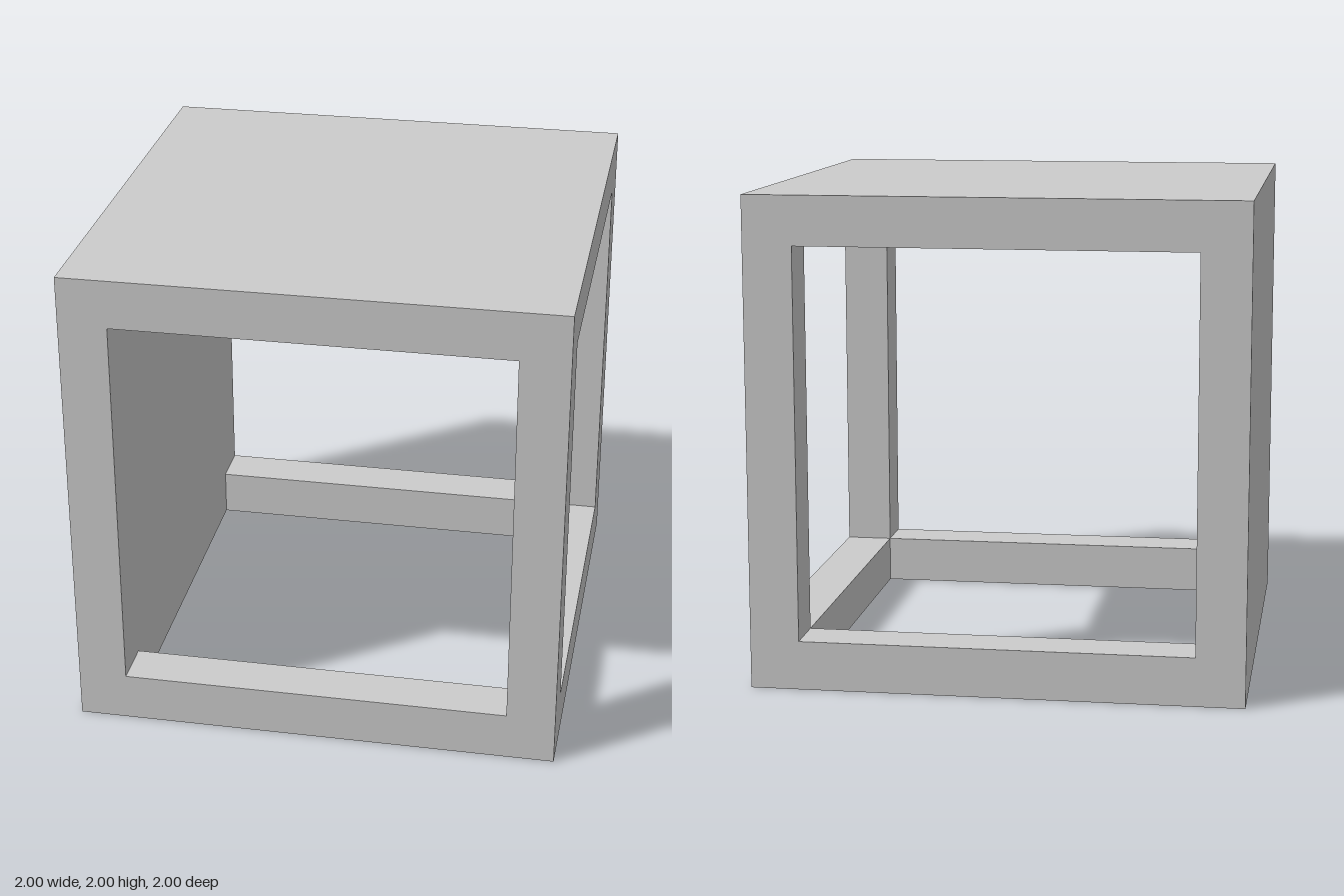
import * as THREE from 'three';
import { mergeGeometries } from 'three/addons/utils/BufferGeometryUtils.js';

const HALF = 1;      // half the cube's edge
const WALL = 0.2;    // thickness of panels and bars
const INNER = HALF - WALL;

function square(PathType, h) {
  const p = new PathType();
  p.moveTo(-h, -h);
  p.lineTo(h, -h);
  p.lineTo(h, h);
  p.lineTo(-h, h);
  p.closePath();
  return p;
}

// One side of the cube, facing +z: a solid panel or a square frame.
function sideGeometry(open) {
  const shape = square(THREE.Shape, HALF);
  if (open) shape.holes.push(square(THREE.Path, INNER));
  const pieces = [new THREE.ShapeGeometry(shape).translate(0, 0, HALF)];
  if (open) {
    // four reveals lining the opening
    for (let i = 0; i < 4; i++) {
      pieces.push(new THREE.PlaneGeometry(2 * INNER, WALL)
        .rotateX(-Math.PI / 2)
        .translate(0, -INNER, HALF - WALL / 2)
        .rotateZ(i * Math.PI / 2));
    }
  } else {
    // inner face of the solid panel
    pieces.push(new THREE.PlaneGeometry(2 * INNER, 2 * INNER)
      .rotateX(Math.PI)
      .translate(0, 0, INNER));
  }
  return mergeGeometries(pieces);
}

export function createModel() {
  const group = new THREE.Group();
  group.name = 'openCube';
  const material = new THREE.MeshStandardMaterial({ color: 0xcccccc });
  const q = Math.PI / 2;

  // name, rotation about x, rotation about y, open
  const sides = [
    ['frontFrame', 0, 0, true],
    ['backFrame', 0, 2 * q, true],
    ['leftFrame', 0, q, true],
    ['rightPanel', 0, -q, false],
    ['topPanel', -q, 0, false],
    ['bottomFrame', q, 0, true],
  ];
  for (const [name, rx, ry, open] of sides) {
    const mesh = new THREE.Mesh(sideGeometry(open), material);
    mesh.name = name;
    mesh.rotation.set(rx, ry, 0);
    mesh.position.y = HALF;
    group.add(mesh);
  }
  return group;
}
